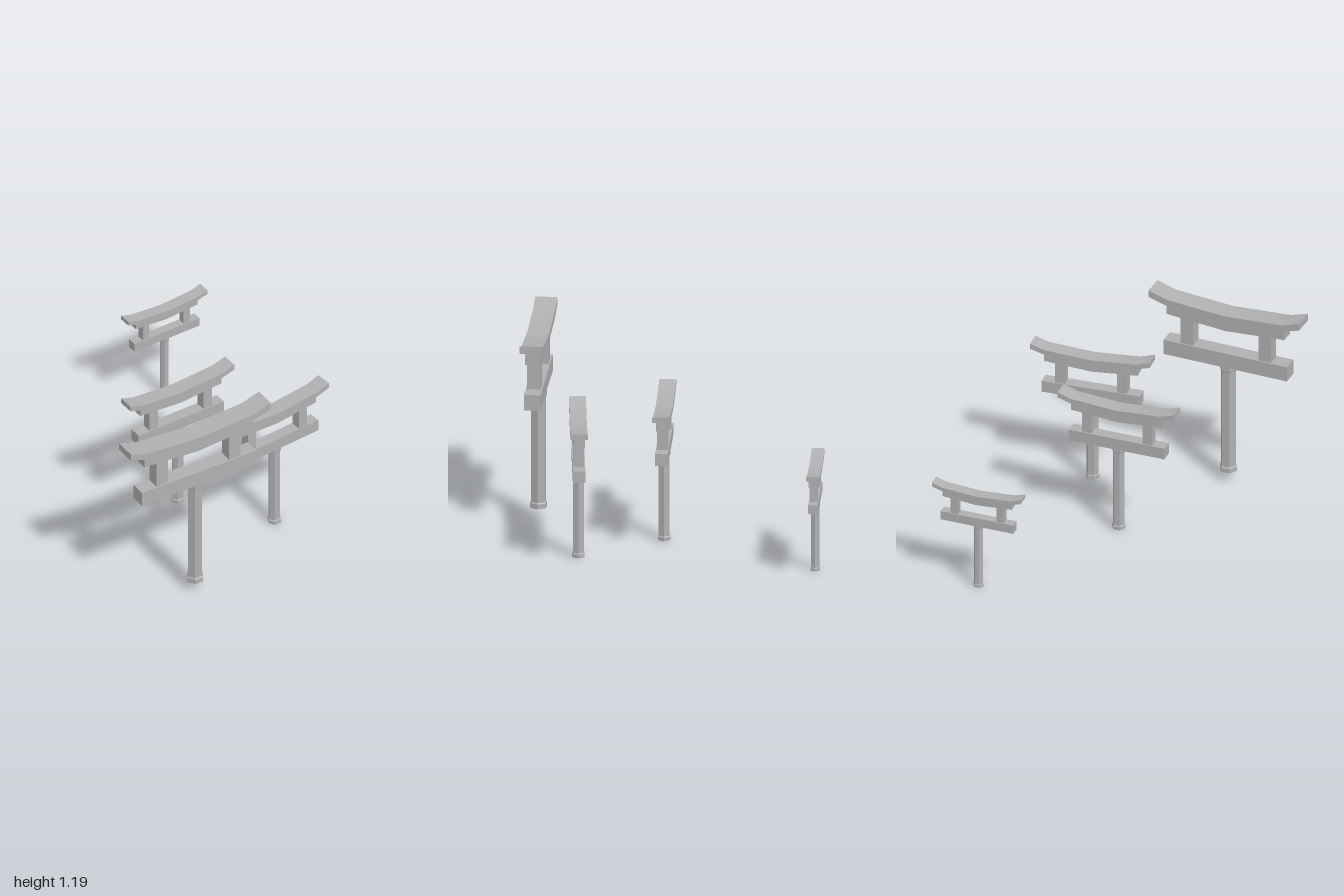
import * as THREE from 'three';
import { toCreasedNormals } from 'three/addons/utils/BufferGeometryUtils.js';

const stone = new THREE.MeshStandardMaterial({ color: 0xb0b0b0 });
stone.name = 'grey stone';

function add(parent, name, geometry, x = 0, y = 0, z = 0) {
  const mesh = new THREE.Mesh(geometry, stone);
  mesh.name = name;
  mesh.position.set(x, y, z);
  parent.add(mesh);
}

// Hexagonal column with corners on the x axis, resting on its own y = 0
function hexColumn(bottomRadius, topRadius, height) {
  const g = new THREE.CylinderGeometry(topRadius, bottomRadius, height, 6, 1, false, Math.PI / 2);
  return toCreasedNormals(g.translate(0, height / 2, 0), 0.5);
}

// Upswept beam: half profiles [x, y] from the centre outwards, mirrored and extruded in z
function sweptBeam(top, bottom, depth) {
  const mirror = (half) => [...half.slice(1).reverse().map(([x, y]) => [-x, y]), ...half];
  const outline = [...mirror(bottom), ...mirror(top).reverse()];
  const shape = new THREE.Shape(outline.map(([x, y]) => new THREE.Vector2(x, y)));
  const g = new THREE.ExtrudeGeometry(shape, { depth, bevelEnabled: false });
  return toCreasedNormals(g.translate(0, 0, -depth / 2), 0.5);
}

// One gate-shaped lantern post, 1.127 tall
function makeGate() {
  const gate = new THREE.Group();

  // Post with a chamfered collar at each end
  add(gate, 'postBase', hexColumn(0.054, 0.054, 0.029), 0, 0, 0);
  add(gate, 'postBaseChamfer', hexColumn(0.054, 0.047, 0.007), 0, 0.029, 0);
  add(gate, 'post', hexColumn(0.047, 0.047, 0.68), 0, 0.03, 0);
  add(gate, 'postCapChamfer', hexColumn(0.047, 0.054, 0.007), 0, 0.674, 0);
  add(gate, 'postCap', hexColumn(0.054, 0.054, 0.03), 0, 0.681, 0);

  // Crossbeam and the two uprights on it
  add(gate, 'crossbeam', new THREE.BoxGeometry(0.782, 0.095, 0.096), 0, 0.7575, 0);
  for (const side of [-1, 1]) {
    add(gate, side > 0 ? 'leftUpright' : 'rightUpright',
      new THREE.BoxGeometry(0.078, 0.185, 0.078), side * 0.247, 0.8925, 0);
  }

  // Curved lintel with the wider roof beam on top
  const seam = [[0, 1.02], [0.373, 1.052]];
  add(gate, 'lintel', sweptBeam(seam, [[0, 0.954], [0.373, 0.982]], 0.086));
  add(gate, 'roofBeam', sweptBeam(
    [[0, 1.066], [0.365, 1.091], [0.477, 1.127]],
    [...seam, [0.477, 1.083]], 0.13));
  return gate;
}

export function createModel() {
  const model = new THREE.Group();
  model.name = 'gates';
  // name, x, y, z, scale, turn in degrees
  const places = [
    ['largeGate', -0.521, 0.07, 0.67, 1, -14.5],
    ['middleGate', 0.018, 0.01, 0.017, 0.762, -12.3],
    ['frontGate', 0.26, 0.01, 0.56, 0.762, -8.2],
    ['smallGate', 0.717, 0.005, -0.759, 0.58, -12.4],
  ];
  for (const [name, x, y, z, scale, turn] of places) {
    const gate = makeGate();
    gate.name = name;
    gate.position.set(x, y, z);
    gate.rotation.y = THREE.MathUtils.degToRad(turn);
    gate.scale.setScalar(scale);
    model.add(gate);
  }
  return model;
}
